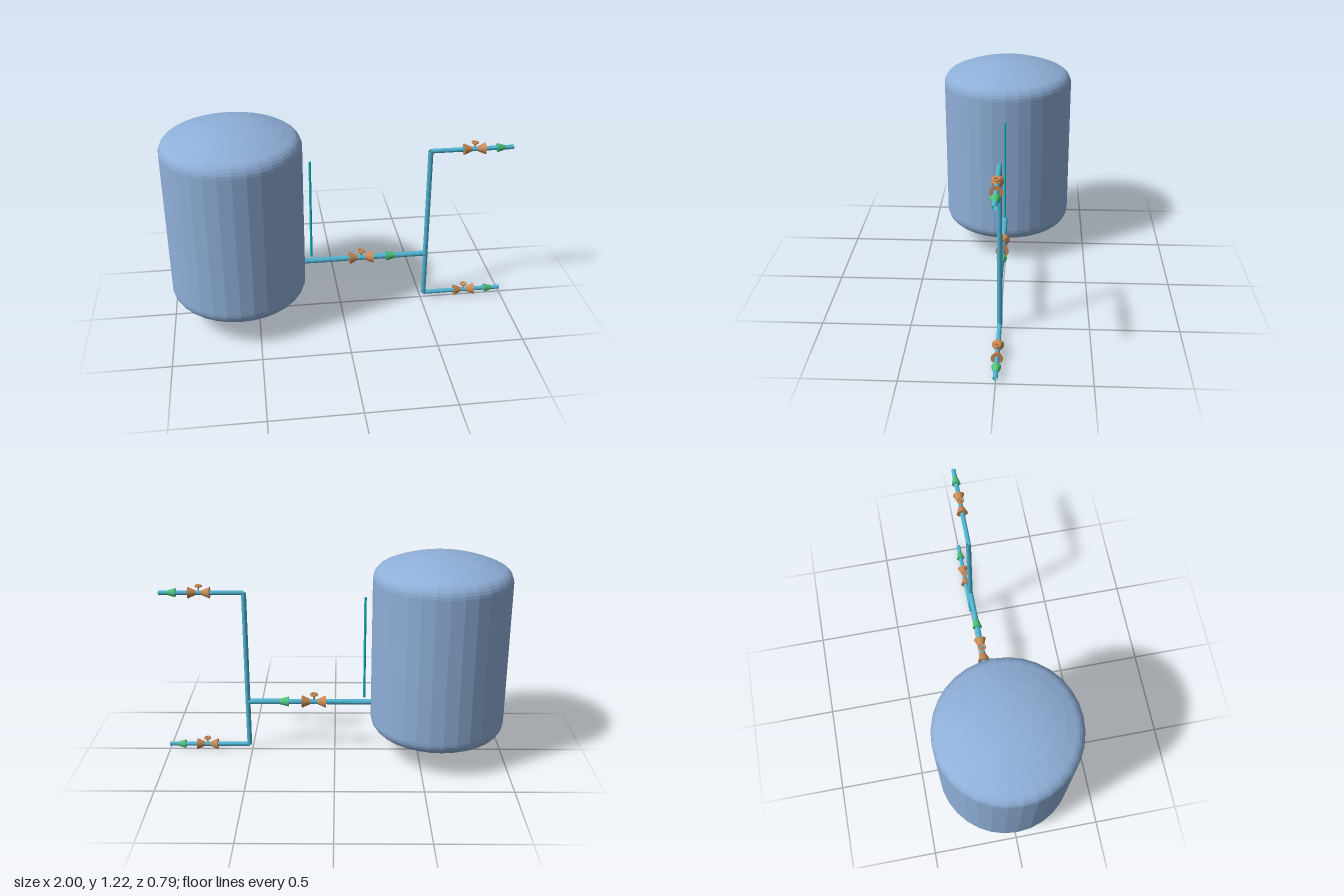
import * as THREE from 'three';

const material = (name, color, extra = {}) => {
  const m = new THREE.MeshStandardMaterial({ color, flatShading: true, ...extra });
  m.name = name;
  return m;
};

export function createModel() {
  const model = new THREE.Group();
  model.name = 'tankWithPipes';
  const steel = material('tankBlue', 0x8fafd8, { side: THREE.DoubleSide });
  const pipeBlue = material('pipeBlue', 0x4fb4d2, { side: THREE.DoubleSide });
  const teal = material('gaugeTeal', 0x14b8c0);
  const copper = material('valveCopper', 0xc88a55);
  const green = material('arrowGreen', 0x4cc27c);

  const add = (parent, name, geometry, mat, x = 0, y = 0, z = 0) => {
    const mesh = new THREE.Mesh(geometry, mat);
    mesh.name = name;
    mesh.position.set(x, y, z);
    parent.add(mesh);
    return mesh;
  };

  // Tank: straight shell with dished ends (tight knuckle, shallow crown)
  const R = 0.393, knuckle = 0.08, crown = 0.85, bottom = 0.087, top = 1.225;
  const join = Math.asin((R - knuckle) / (crown - knuckle));
  const head = [];
  for (let i = 0; i <= 6; i++) {
    const a = join * i / 6;
    head.push([crown * Math.sin(a), crown * (1 - Math.cos(a))]);
  }
  const depth = crown - (crown - knuckle) * Math.cos(join);
  for (let i = 1; i <= 5; i++) {
    const a = join + (Math.PI / 2 - join) * i / 5;
    head.push([R - knuckle + knuckle * Math.sin(a), depth - knuckle * Math.cos(a)]);
  }
  const profile = [
    ...head.map(([r, d]) => new THREE.Vector2(r, bottom + d)),
    ...head.slice().reverse().map(([r, d]) => new THREE.Vector2(r, top - d)),
  ];
  add(model, 'tank', new THREE.LatheGeometry(profile, 32), steel, -0.607);

  // Level gauge beside the tank
  add(model, 'levelGauge', new THREE.CylinderGeometry(0.007, 0.007, 0.62, 12), teal, -0.174, 0.66);

  // Open pipes
  const pipeX = (name, x0, x1, y, r) => {
    const g = new THREE.CylinderGeometry(r, r, x1 - x0, 16, 1, true).rotateZ(-Math.PI / 2);
    add(model, name, g, pipeBlue, (x0 + x1) / 2, y);
  };

  // Valve: two cones nose to nose, a stem and a hand wheel
  const valve = (name, x, y, r, halfLength) => {
    const group = new THREE.Group();
    group.name = name;
    group.position.set(x, y, 0);
    model.add(group);
    for (const s of [-1, 1]) {
      const g = new THREE.CylinderGeometry(0.006, r, halfLength, 20).rotateZ(s * Math.PI / 2);
      add(group, 'valveCone', g, copper, s * halfLength / 2);
    }
    const h = r * 1.22;
    add(group, 'valveStem', new THREE.CylinderGeometry(r * 0.13, r * 0.13, h, 10), copper, 0, h / 2);
    const wheel = new THREE.TorusGeometry(r * 0.48, r * 0.17, 8, 20).rotateX(Math.PI / 2);
    add(group, 'valveWheel', wheel, copper, 0, h);
  };

  // Flow arrow: cone pointing downstream
  const arrow = (name, x, y, r, length) => {
    const g = new THREE.ConeGeometry(r, length, 20).rotateZ(-Math.PI / 2);
    add(model, name, g, green, x + length / 2, y);
  };

  // Outlet line
  const mainY = 0.319, lowY = 0.035, highY = 0.996, riserX = 0.517;
  pipeX('outletPipe', -0.214, riserX, mainY, 0.016);
  valve('outletValve', 0.124, mainY, 0.038, 0.072);
  arrow('outletArrow', 0.275, mainY, 0.03, 0.115);

  // Riser
  const riser = new THREE.CylinderGeometry(0.0145, 0.0145, highY - lowY, 16, 1, true);
  add(model, 'riser', riser, pipeBlue, riserX, (highY + lowY) / 2);

  // Upper and lower branches
  for (const [name, y] of [['upper', highY], ['lower', lowY]]) {
    pipeX(name + 'BranchPipe', riserX, 1, y, 0.013);
    valve(name + 'BranchValve', 0.771, y, 0.033, 0.062);
    arrow(name + 'BranchArrow', 0.904, y, 0.026, 0.092);
  }
  return model;
}
